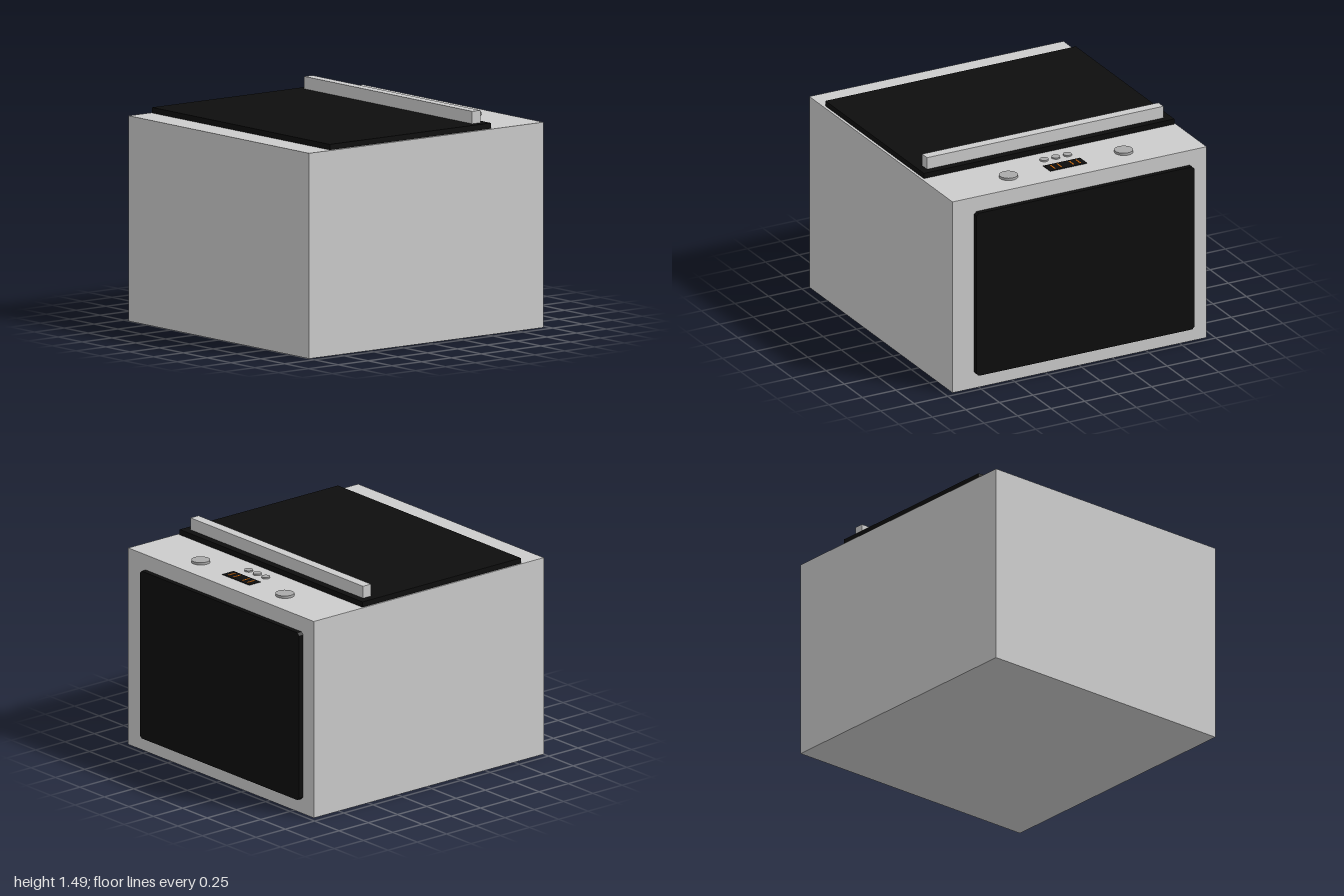
import * as THREE from 'three';

const material = (color) => new THREE.MeshStandardMaterial({ color });

export function createModel() {
  const oven = new THREE.Group();
  oven.name = 'oven';
  const steel = material(0xcccccc);
  const handleSteel = material(0xe8e8e8);
  const knobSteel = material(0xaaaaaa);
  const black = material(0x0d0d0d);
  const orange = material(0xd9700f);
  const top = 1.365;

  const add = (name, geometry, mat) => {
    const mesh = new THREE.Mesh(geometry, mat);
    mesh.name = name;
    oven.add(mesh);
    return mesh;
  };

  // Box given by its limits on each axis
  const box = (name, mat, [x0, x1], [y0, y1], [z0, z1]) =>
    add(name, new THREE.BoxGeometry(x1 - x0, y1 - y0, z1 - z0), mat)
      .position.set((x0 + x1) / 2, (y0 + y1) / 2, (z0 + z1) / 2);

  // Round control standing on the top panel
  const control = (name, x, z, radius, height) =>
    add(name, new THREE.CylinderGeometry(radius, radius, height, 40), knobSteel)
      .position.set(x, top + height / 2, z);

  // Cabinet, glass door and its bar handle
  box('cabinet', steel, [-0.95, 0.945], [0, top], [-0.965, 1]);
  box('door', black, [-0.94, 0.927], [top, 1.402], [-0.54, 0.812]);
  box('handle', handleSteel, [-0.886, 0.877], [1.402, 1.485], [-0.49, -0.422]);

  // Back panel with clipped corners
  const [x0, x1, y0, y1, c] = [-0.842, 0.785, 0.098, 1.26, 0.018];
  const panel = new THREE.Shape([
    [x0 + c, y0], [x1 - c, y0], [x1, y0 + c], [x1, y1 - c],
    [x1 - c, y1], [x0 + c, y1], [x0, y1 - c], [x0, y0 + c],
  ].map(([x, y]) => new THREE.Vector2(x, y)));
  add('backPanel', new THREE.ExtrudeGeometry(panel, { depth: 0.035, bevelEnabled: false }), black)
    .position.z = -1;

  // Knobs and small buttons
  for (const x of [-0.432, 0.427]) control('knob', x, -0.779, 0.062, 0.017);
  for (const x of [-0.083, 0.004, 0.091]) control('button', x, -0.65, 0.029, 0.01);

  // Display with plain lit bars
  box('display', black, [-0.131, 0.144], [top, top + 0.004], [-0.832, -0.735]);
  for (const x of [-0.09, -0.04, 0.05, 0.1]) {
    box('displayBar', orange, [x - 0.005, x + 0.005], [top + 0.004, top + 0.006], [-0.815, -0.752]);
  }

  return oven;
}
